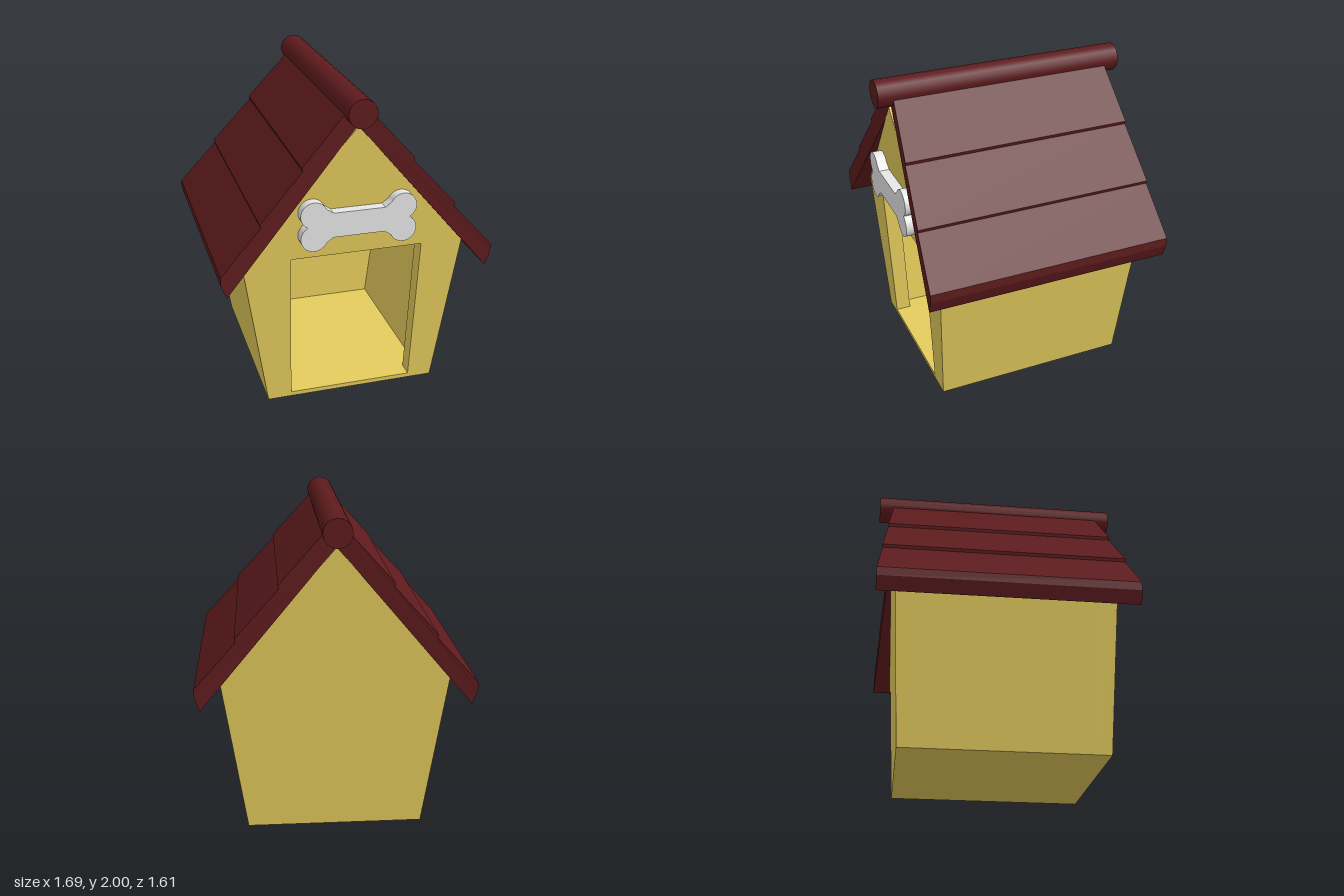
import * as THREE from 'three';
import { toCreasedNormals } from 'three/addons/utils/BufferGeometryUtils.js';

const material = (name, color) => {
  const m = new THREE.MeshStandardMaterial({ color });
  m.name = name;
  return m;
};

const toShape = (points) => new THREE.Shape(points.map(([x, y]) => new THREE.Vector2(x, y)));

// Extrude from z0 to z1, then flare the depth by a rule of x and y
function flaredExtrude(shape, z0, z1, flare) {
  const geo = new THREE.ExtrudeGeometry(shape, { depth: z1 - z0, bevelEnabled: false });
  geo.translate(0, 0, z0);
  const p = geo.attributes.position;
  for (let i = 0; i < p.count; i++) p.setZ(i, p.getZ(i) * flare(p.getX(i), p.getY(i)));
  geo.computeVertexNormals();
  return geo;
}

export function createModel() {
  const group = new THREE.Group();
  const yellow = material('yellow wood', 0xe5cc5c);
  const red = material('dark red roof', 0x5f1b1d);
  const white = material('bone white', 0xe8e8e8);

  const add = (name, geo, mat) => {
    const mesh = new THREE.Mesh(geo, mat);
    mesh.name = name;
    group.add(mesh);
    return mesh;
  };

  // House walls: five-sided outline, leaning outward with height
  const outline = [[-0.55, 0], [0.55, 0], [0.7, 1], [0, 1.815], [-0.7, 1]];
  const inside = [[-0.485, 0.03], [0.485, 0.03], [0.62, 0.98], [0, 1.7], [-0.62, 0.98]];
  const doorway = [[-0.4, 0.03], [0.395, 0.03], [0.43, 1], [-0.4, 1]];
  const wallFlare = (x, y) => 1 + (0.05 * y) / 0.628;

  const frontShape = toShape(outline);
  frontShape.holes.push(toShape(doorway));
  add('frontWall', flaredExtrude(frontShape, 0.53, 0.628, wallFlare), yellow);

  const shellShape = toShape(outline);
  shellShape.holes.push(toShape(inside));
  add('sideWallsAndFloor', flaredExtrude(shellShape, -0.56, 0.53, wallFlare), yellow);

  add('backWall', flaredExtrude(toShape(outline), -0.628, -0.56, wallFlare), yellow);

  // Roof halves: three stepped boards each, longer at the eaves than at the ridge
  const roofProfile = [
    [0, 1.815], [0.815, 0.857], [0.847, 0.94], [0.847, 0.995], [0.597, 1.27],
    [0.603, 1.29], [0.338, 1.58], [0.343, 1.6], [0, 1.98],
  ];
  const roofFlare = (x) => 1 + (0.108 * Math.min(Math.abs(x), 0.815)) / 0.702;
  for (const [name, side] of [['leftRoof', 1], ['rightRoof', -1]]) {
    const shape = toShape(roofProfile.map(([x, y]) => [x * side, y]));
    add(name, flaredExtrude(shape, -0.702, 0.702, roofFlare), red);
  }

  // Round ridge pole
  const ridge = add('ridgePole', new THREE.CylinderGeometry(0.088, 0.088, 1.61, 16), red);
  ridge.rotation.x = Math.PI / 2;
  ridge.position.y = 1.912;

  // Bone sign: a straight shaft with two round knobs at each end
  const rad = THREE.MathUtils.degToRad;
  const bone = new THREE.Shape();
  bone.moveTo(-0.16, -0.078);
  bone.lineTo(0.16, -0.078);
  const knobs = [[0.276, -0.073, 205, 420], [0.276, 0.073, -60, 155],
    [-0.276, 0.073, 25, 240], [-0.276, -0.073, 120, 335]];
  knobs.forEach(([x, y, from, to], i) => {
    bone.absarc(x, y, 0.083, rad(from), rad(to), false);
    if (i === 1) {
      bone.lineTo(0.16, 0.078);
      bone.lineTo(-0.16, 0.078);
    }
  });
  bone.closePath();
  const boneGeo = new THREE.ExtrudeGeometry(bone, { depth: 0.085, curveSegments: 10, bevelEnabled: false });
  add('boneSign', toCreasedNormals(boneGeo, 0.6), white).position.set(0, 1.232, 0.675);

  return group;
}
